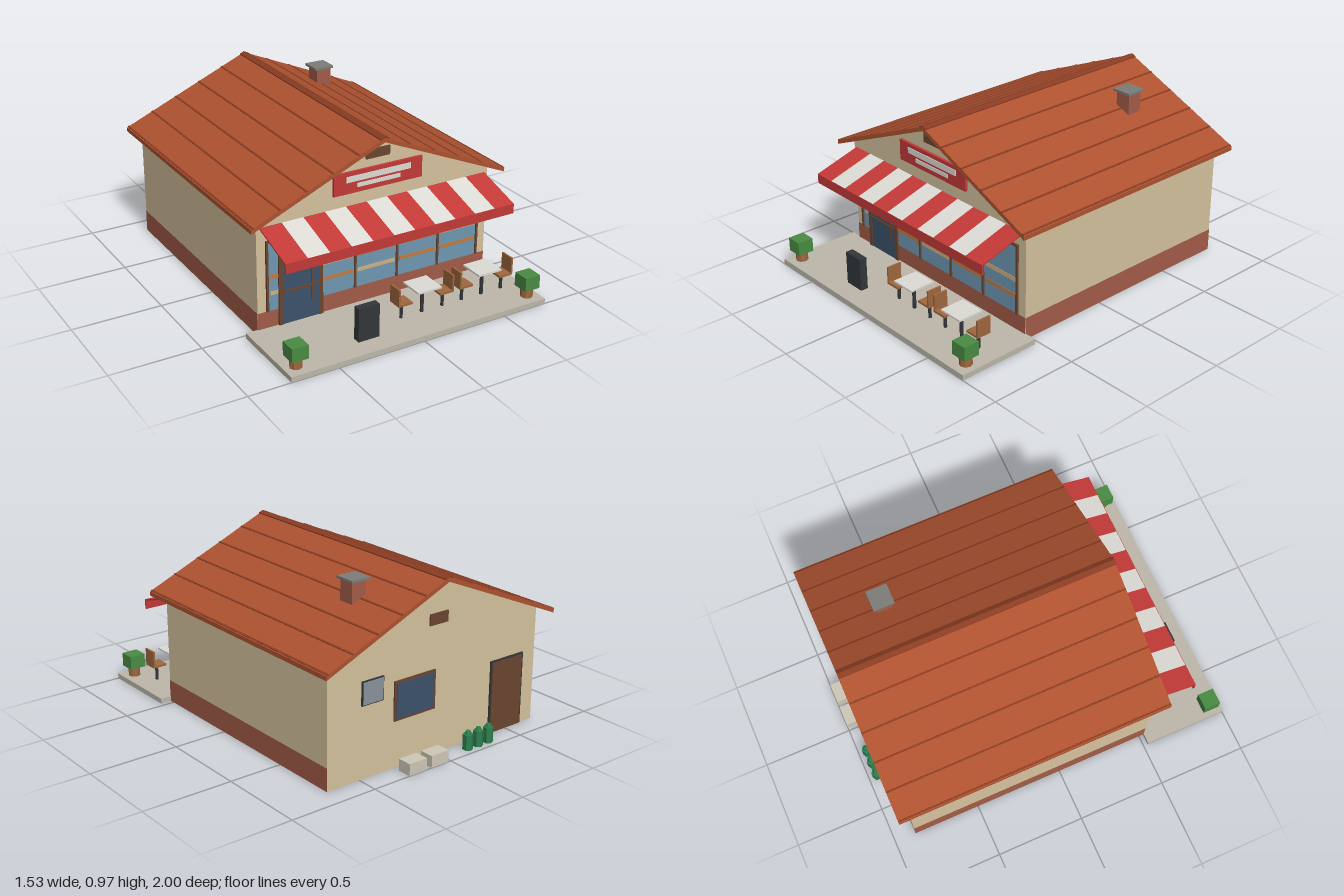
import * as THREE from 'three';

const C = {
  wall: 0xd6c29e, brick: 0xa35c48, roof: 0xae5230, seam: 0x8a3c22, stone: 0xbdb8aa, red: 0xc43a38, white: 0xdedcd6,
  frame: 0x6b4630, glass: 0x7098b4, darkGlass: 0x3c526c, dark: 0x33373a, wood: 0xa0683e, green: 0x4a8c44,
  bottle: 0x2f8050, grey: 0x7d7c78, orange: 0xbf7d45, tan: 0xd0b184, meter: 0x8b929c, crate: 0xcfc8b8,
};
const mats = {};
function mat(name) {
  return mats[name] ??= new THREE.MeshStandardMaterial({
    color: C[name], flatShading: true, side: name === 'wall' ? THREE.DoubleSide : THREE.FrontSide,
  });
}

function add(parent, name, geometry, color, x = 0, y = 0, z = 0) {
  const m = new THREE.Mesh(geometry, mat(color));
  m.name = name;
  m.position.set(x, y, z);
  parent.add(m);
  return m;
}
// Box given by its extents on each axis
function box(parent, name, color, [x0, x1], [y0, y1], [z0, z1]) {
  return add(parent, name, new THREE.BoxGeometry(x1 - x0, y1 - y0, z1 - z0), color,
    (x0 + x1) / 2, (y0 + y1) / 2, (z0 + z1) / 2);
}
function group(parent, name) {
  const g = new THREE.Group();
  g.name = name;
  parent.add(g);
  return g;
}

const FRONT = 0.53, BACK = -0.88, HALF = 0.7, SLOPE = 0.428, RIDGE = 0.963;
const roofY = x => RIDGE - SLOPE * Math.abs(x);

// Chevron following the roof slope, extruded along z
function chevron(half, lift, thick, z0, z1) {
  const s = new THREE.Shape([[0, lift], [-half, lift - SLOPE * half], [-half, lift - thick - SLOPE * half],
    [0, lift - thick], [half, lift - thick - SLOPE * half], [half, lift - SLOPE * half]]
    .map(([x, y]) => new THREE.Vector2(x, y + RIDGE)));
  return new THREE.ExtrudeGeometry(s, { depth: z1 - z0, bevelEnabled: false }).translate(0, 0, z0);
}

function buildShell(root) {
  const g = group(root, 'walls');
  const top = roofY(HALF) - 0.024;
  const gable = new THREE.ShapeGeometry(new THREE.Shape([[-HALF, 0], [HALF, 0], [HALF, top], [0, RIDGE - 0.024], [-HALF, top]]
    .map(p => new THREE.Vector2(...p))));
  add(g, 'frontWall', gable, 'wall', 0, 0, FRONT);
  add(g, 'backWall', gable, 'wall', 0, 0, BACK).rotation.y = Math.PI;
  for (const s of [-1, 1]) {
    const side = new THREE.PlaneGeometry(FRONT - BACK, top);
    add(g, 'sideWall', side, 'wall', s * HALF, top / 2, (FRONT + BACK) / 2).rotation.y = s * Math.PI / 2;
    // Brick plinth on the sides
    const band = new THREE.PlaneGeometry(FRONT - BACK, 0.125);
    add(g, 'sidePlinth', band, 'brick', s * (HALF + 0.002), 0.0625, (FRONT + BACK) / 2).rotation.y = s * Math.PI / 2;
  }
  add(g, 'frontPlinth', new THREE.PlaneGeometry(HALF * 2, 0.125), 'brick', 0, 0.0625, FRONT + 0.002);
  box(root, 'terrace', 'stone', [-0.766, 0.766], [0, 0.03], [0.525, 1]);
}

function buildRoof(root) {
  const g = group(root, 'roof');
  add(g, 'roofSlab', chevron(0.76, 0, 0.024, -0.95, 0.6), 'roof');
  add(g, 'ridgeCap', chevron(0.025, 0.006, 0.008, -0.95, 0.6), 'seam');
  for (const s of [-1, 1]) {
    for (let i = 1; i <= 5; i++) {
      const x = s * i * 0.15;
      add(g, 'roofSeam', new THREE.BoxGeometry(0.01, 0.006, 1.55), 'seam', x, roofY(x), -0.175)
        .rotation.z = -s * Math.atan(SLOPE);
    }
  }
  box(g, 'chimney', 'brick', [0.265, 0.355], [0.8, 0.928], [-0.637, -0.547]);
  box(g, 'chimneyCap', 'grey', [0.25, 0.367], [0.926, 0.94], [-0.652, -0.534]);
}

function buildShopfront(root) {
  const g = group(root, 'shopfront');
  box(g, 'windowGlass', 'glass', [-0.645, 0.645], [0.125, 0.515], [0.528, 0.534]);
  const posts = [-0.645, -0.386, -0.13, 0.128, 0.386, 0.642];
  for (const x of posts) box(g, 'windowPost', 'frame', [x - 0.006, x + 0.006], [0.125, 0.52], [0.528, 0.542]);
  box(g, 'windowHead', 'frame', [-0.651, 0.648], [0.51, 0.522], [0.528, 0.542]);
  // Two rows of goods seen in each pane
  const rows = [[0.305, 0.33, 'otoot'], [0.213, 0.235, 'totoo']];
  for (const [y0, y1, colours] of rows) {
    for (let i = 0; i < 5; i++) {
      box(g, 'displayShelf', colours[i] === 'o' ? 'orange' : 'tan',
        [posts[i] + 0.016, posts[i + 1] - 0.012], [y0, y1], [0.53, 0.536]);
    }
  }
  // Entrance
  box(g, 'entranceDoor', 'darkGlass', [-0.565, -0.345], [0.03, 0.495], [0.528, 0.54]);
  for (const x of [-0.57, -0.338]) box(g, 'doorJamb', 'frame', [x - 0.012, x + 0.012], [0.03, 0.505], [0.528, 0.544]);
  box(g, 'doorHead', 'frame', [-0.582, -0.326], [0.493, 0.508], [0.528, 0.544]);
  box(g, 'doorBar', 'frame', [-0.555, -0.35], [0.212, 0.224], [0.538, 0.546]);
  // Blank signboard and gable vents
  box(g, 'signBoard', 'red', [-0.265, 0.265], [0.675, 0.792], [0.528, 0.545]);
  box(g, 'signStripe', 'white', [-0.193, 0.193], [0.738, 0.77], [0.54, 0.549]);
  box(g, 'signStripe', 'white', [-0.13, 0.13], [0.703, 0.725], [0.54, 0.549]);
  box(g, 'gableVent', 'frame', [-0.071, 0.071], [0.838, 0.888], [0.528, 0.538]);
}

function buildAwning(root) {
  const g = group(root, 'awning');
  const n = 11, w = 1.36 / n, drop = 0.08, reach = 0.265;
  for (let i = 0; i < n; i++) {
    const strip = new THREE.BoxGeometry(w, 0.008, Math.hypot(drop, reach));
    add(g, 'awningStripe', strip, i % 2 ? 'white' : 'red', -0.68 + (i + 0.5) * w, 0.558, FRONT + reach / 2)
      .rotation.x = Math.atan2(drop, reach);
  }
  box(g, 'valance', 'red', [-0.68, 0.68], [0.467, 0.522], [0.788, 0.798]);
}

function buildTerraceFurniture(root) {
  const Z = 0.785;
  for (const x of [0.125, 0.505]) {
    const t = group(root, 'table');
    t.position.set(x, 0, Z);
    box(t, 'tableTop', 'white', [-0.072, 0.072], [0.18, 0.19], [-0.072, 0.072]);
    add(t, 'tableLeg', new THREE.CylinderGeometry(0.01, 0.01, 0.15, 8), 'dark', 0, 0.105, 0);
    for (const s of [-1, 1]) {
      const c = group(root, 'chair');
      c.position.set(x + s * 0.128, 0, Z);
      box(c, 'chairSeat', 'wood', [-0.042, 0.042], [0.118, 0.13], [-0.042, 0.042]);
      const b = s * 0.037;
      box(c, 'chairBack', 'wood', [b - 0.005, b + 0.005], [0.125, 0.217], [-0.042, 0.042]);
      add(c, 'chairLeg', new THREE.CylinderGeometry(0.009, 0.009, 0.09, 8), 'dark', 0, 0.075, 0);
    }
  }
  box(root, 'menuBoard', 'dark', [-0.322, -0.2], [0.03, 0.217], [0.845, 0.888]);
  for (const x of [-0.7, 0.7]) {
    const p = group(root, 'planter');
    p.position.set(x, 0, 0.925);
    add(p, 'planterPot', new THREE.CylinderGeometry(0.034, 0.034, 0.058, 8), 'wood', 0, 0.058, 0);
    box(p, 'planterShrub', 'green', [-0.046, 0.046], [0.085, 0.162], [-0.046, 0.046]);
  }
}

function buildRear(root) {
  const g = group(root, 'rear');
  const z = [BACK - 0.008, BACK + 0.002], zOut = [BACK - 0.012, BACK];
  box(g, 'backDoorFrame', 'dark', [-0.61, -0.375], [0.005, 0.41], z);
  box(g, 'backDoor', 'frame', [-0.6, -0.385], [0.005, 0.4], zOut);
  box(g, 'backWindowFrame', 'frame', [0.015, 0.285], [0.255, 0.468], z);
  box(g, 'backWindow', 'darkGlass', [0.028, 0.272], [0.268, 0.455], zOut);
  box(g, 'meterFrame', 'dark', [0.355, 0.492], [0.392, 0.52], z);
  box(g, 'meterPanel', 'meter', [0.361, 0.486], [0.398, 0.514], zOut);
  box(g, 'backVent', 'frame', [-0.06, 0.06], [0.705, 0.765], z);
  for (const x of [0.073, 0.22]) box(g, 'crate', 'crate', [x - 0.057, x + 0.057], [0, 0.065], [-1, -0.92]);
  // Gas bottles
  for (const x of [-0.31, -0.238, -0.165]) {
    add(g, 'gasBottle', new THREE.CylinderGeometry(0.028, 0.028, 0.085, 6), 'bottle', x, 0.0425, -0.95);
    add(g, 'gasBottleNeck', new THREE.CylinderGeometry(0.012, 0.02, 0.02, 6), 'bottle', x, 0.094, -0.95);
  }
}

export function createModel() {
  const root = new THREE.Group();
  root.name = 'shop';
  for (const build of [buildShell, buildRoof, buildShopfront, buildAwning, buildTerraceFurniture, buildRear]) build(root);
  return root;
}
